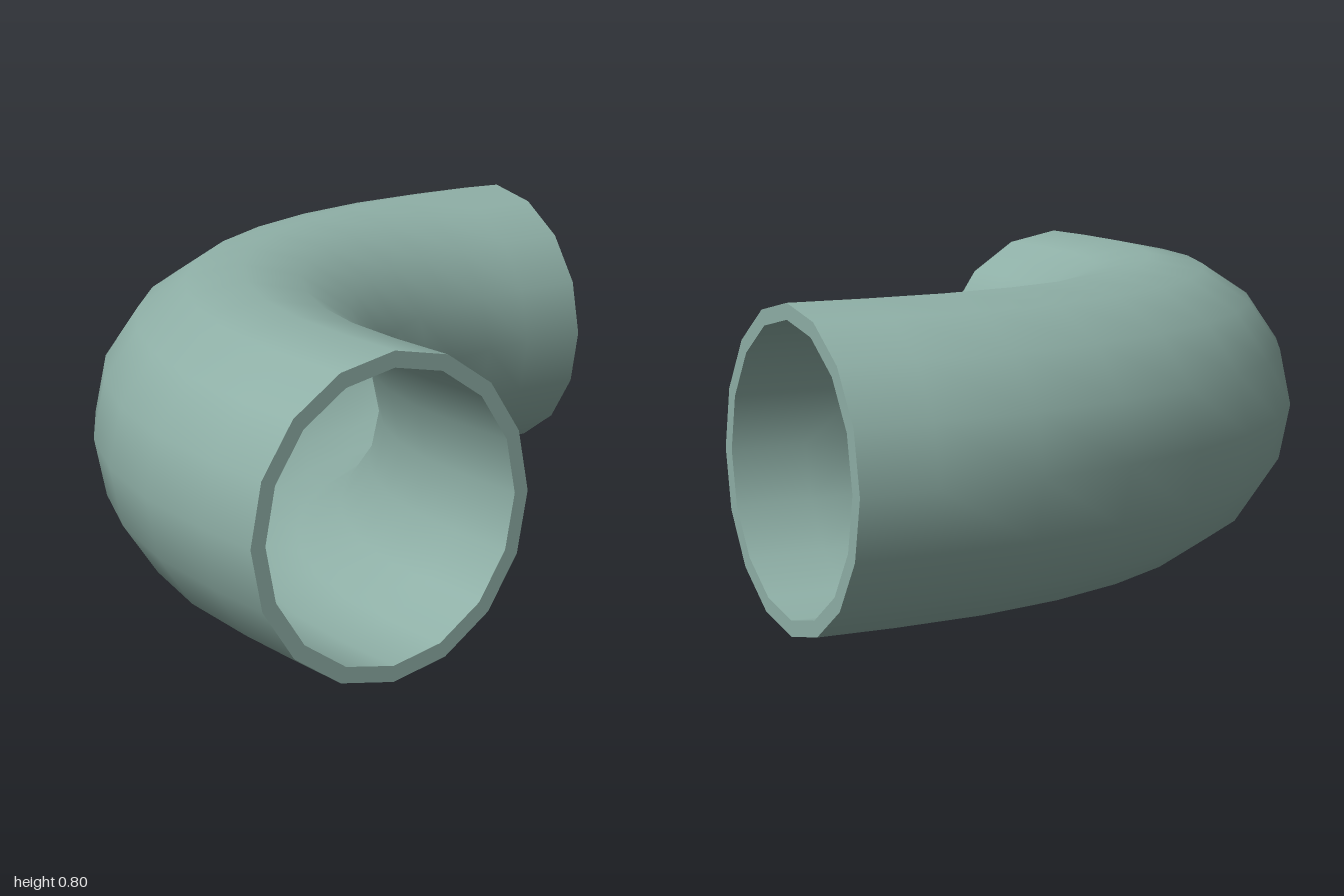
import * as THREE from 'three';

const OUTER = 0.4, INNER = 0.36, SIDES = 16, STEPS = 10;
const BEND = 1.4, STUB = 0.2; // centreline radius and straight end length

// Frame of the bent centreline at row i: a straight stub, a quarter turn, a straight stub
function frameAt(i) {
  const a = THREE.MathUtils.clamp((i - 1) / STEPS, 0, 1) * Math.PI / 2;
  const inward = new THREE.Vector3(Math.cos(a), 0, Math.sin(a));
  const tangent = new THREE.Vector3(Math.sin(a), 0, -Math.cos(a));
  const up = new THREE.Vector3(0, 1, 0);
  const centre = new THREE.Vector3(0.8, OUTER, 0.8).addScaledVector(inward, -BEND);
  if (i === 0) centre.addScaledVector(tangent, -STUB);
  if (i === STEPS + 2) centre.addScaledVector(tangent, STUB);
  return new THREE.Matrix4().makeBasis(inward, tangent, up).setPosition(centre);
}

// Open cylinder whose rows are carried onto the bent centreline
function bentTube(radius, inside) {
  const rows = STEPS + 2;
  const geo = new THREE.CylinderGeometry(radius, radius, rows, SIDES, rows, true);
  const pos = geo.attributes.position, nor = geo.attributes.normal;
  const p = new THREE.Vector3(), n = new THREE.Vector3();
  for (let k = 0; k < pos.count; k++) {
    p.fromBufferAttribute(pos, k);
    n.fromBufferAttribute(nor, k);
    const m = frameAt(Math.round(p.y + rows / 2));
    p.setY(0).applyMatrix4(m);
    n.transformDirection(m);
    if (inside) n.negate();
    pos.setXYZ(k, p.x, p.y, p.z);
    nor.setXYZ(k, n.x, n.y, n.z);
  }
  if (inside) geo.setIndex(Array.from(geo.index.array).reverse()); // face the bore
  return geo;
}

export function createModel() {
  const group = new THREE.Group();
  group.name = 'pipeElbow';
  const material = new THREE.MeshStandardMaterial({ color: 0x8fb0a7 });
  const add = (name, geometry) => {
    const mesh = new THREE.Mesh(geometry, material);
    mesh.name = name;
    group.add(mesh);
    return mesh;
  };

  // Pipe wall
  add('outerWall', bentTube(OUTER, false));
  add('innerWall', bentTube(INNER, true));

  // Flat rims at both openings
  const rim = new THREE.RingGeometry(INNER, OUTER, SIDES, 1);
  add('frontRim', rim).position.set(-0.6, OUTER, 1);
  const sideRim = add('leftRim', rim);
  sideRim.position.set(1, OUTER, -0.6);
  sideRim.rotation.y = Math.PI / 2;

  return group;
}
